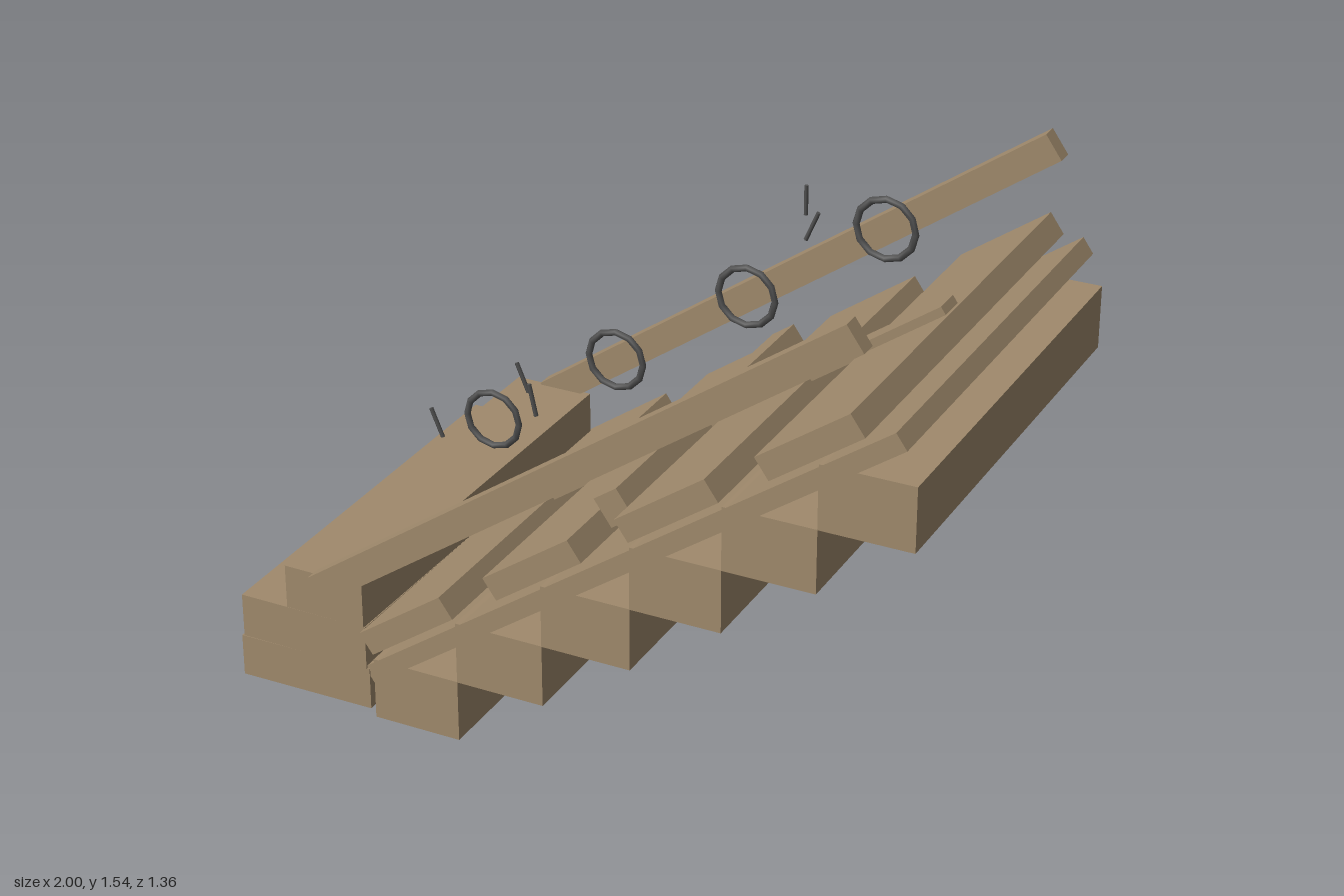
import * as THREE from 'three';

export function createModel() {
  const model = new THREE.Group();
  const wood = new THREE.MeshStandardMaterial({ color: 0xa08a6c });
  wood.name = 'weathered wood';
  const iron = new THREE.MeshStandardMaterial({ color: 0x505050 });
  iron.name = 'dark iron';
  const SLOPE = THREE.MathUtils.degToRad(35.1);

  function add(name, geometry, material, x, y, z) {
    const mesh = new THREE.Mesh(geometry, material);
    mesh.name = name;
    mesh.position.set(x, y, z);
    model.add(mesh);
    return mesh;
  }
  // Timber lying along the slope of the flight
  function sloped(name, length, thick, width, x, y, z = 0) {
    const geometry = new THREE.BoxGeometry(length, thick, width);
    add(name, geometry, wood, x, y, z).rotation.z = SLOPE;
  }

  // Solid steps
  for (let i = 0; i < 6; i++) {
    add('step' + (i + 1), new THREE.BoxGeometry(0.262, 0.184, 1.28), wood,
      -0.438 + i * 0.2615, 0.092 + i * 0.1832, 0);
  }

  // Stacked blocks at the foot, set slightly askew
  [[-0.997, 0.025, 0.15, 0.008], [-0.983, 0.15, 0.28, -0.004], [-0.832, 0.28, 0.41, -0.01]]
    .forEach(([left, bottom, top, turn], i) => {
      const right = -0.587;
      const block = add('footBlock' + (i + 1),
        new THREE.BoxGeometry(right - left, top - bottom, 1.29), wood,
        (left + right) / 2, (bottom + top) / 2, 0);
      block.rotation.y = turn;
    });

  // Long deck board resting on the steps
  sloped('deckBoard', 1.88, 0.053, 1.28, 0.185, 0.671);

  // Four wide planks above the deck
  for (let i = 0; i < 4; i++) {
    sloped('plank' + (i + 1), 0.31, 0.07, 1.34, -0.445 + i * 0.39, 0.337 + i * 0.273);
  }

  // Centre batten and cross beam
  sloped('centreBatten', 1.71, 0.035, 0.08, 0.114, 0.778);
  sloped('crossBeam', 0.08, 0.09, 1.09, 0.12, 0.775, -0.005);

  // Side rails
  for (const side of [-1, 1]) {
    sloped(side > 0 ? 'leftRail' : 'rightRail', 1.91, 0.083, 0.05, 0.062, 0.93, side * 0.656);
  }

  // Iron rings standing over the centre line
  for (let i = 0; i < 4; i++) {
    add('ring' + (i + 1), new THREE.TorusGeometry(0.083, 0.01, 6, 12), iron,
      -0.545 + i * 0.391, 0.63 + i * 0.273, 0);
  }

  // Loose pins: x, y, z, lean
  [[-0.65, 0.655, 0.13, 0.4], [-0.39, 0.84, 0.1, 0.4], [-0.13, 1.017, 0.51, 0.22],
    [0.135, 1.2, -0.6, 0], [0.394, 1.385, -0.063, -0.4]]
    .forEach(([x, y, z, lean], i) => {
      add('pin' + (i + 1), new THREE.CylinderGeometry(0.006, 0.006, 0.09, 6), iron, x, y, z)
        .rotation.z = lean;
    });

  return model;
}
